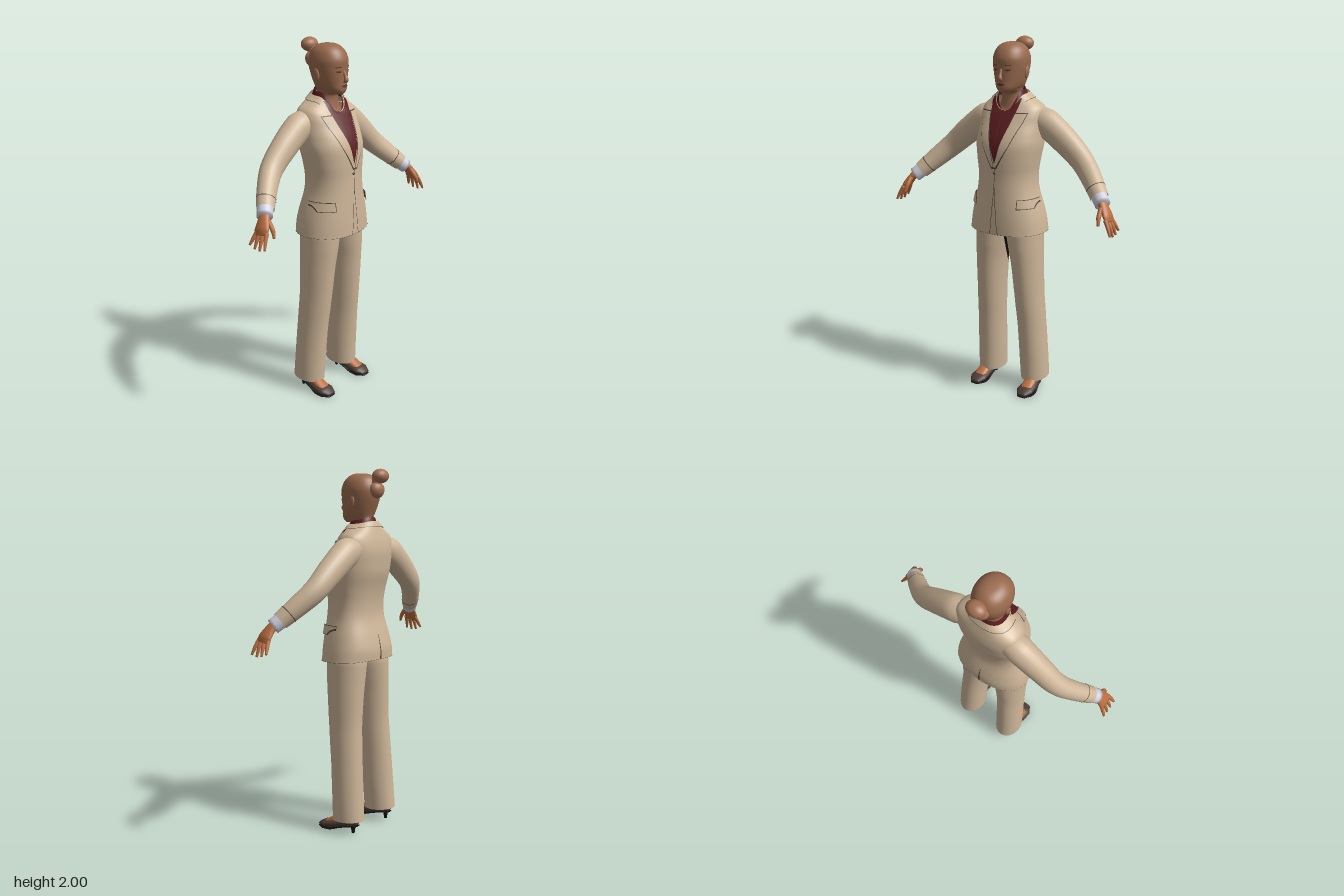
import * as THREE from 'three';
import { mergeVertices } from 'three/addons/utils/BufferGeometryUtils.js';

const mat = (name, color, side = THREE.FrontSide) => {
  const m = new THREE.MeshStandardMaterial({ color, side });
  m.name = name;
  return m;
};
const M = {
  suit: mat('suit beige', 0xcdb598, THREE.DoubleSide),
  seam: mat('seam brown', 0x55483c, THREE.DoubleSide),
  face: mat('face skin', 0x996a4d),
  limb: mat('hand skin', 0xb96e40),
  hair: mat('hair brown', 0xa37052),
  shirt: mat('shirt burgundy', 0x5c1d20, THREE.DoubleSide),
  cuff: mat('cuff white', 0xcfcfdf, THREE.DoubleSide),
  shoe: mat('shoe brown', 0x4d3d35),
  black: mat('sole black', 0x121110),
  feature: mat('feature brown', 0x5f3a2b, THREE.DoubleSide),
};

// Smooth surface from fn(u, v) with outward side Pu x Pv
function grid(fn, nu, nv) {
  const pos = [], idx = [];
  for (let i = 0; i <= nv; i++)
    for (let j = 0; j <= nu; j++) pos.push(...fn(j / nu, i / nv));
  for (let i = 0; i < nv; i++)
    for (let j = 0; j < nu; j++) {
      const a = i * (nu + 1) + j, b = a + 1, c = a + nu + 1, d = c + 1;
      idx.push(a, b, c, b, d, c);
    }
  let g = new THREE.BufferGeometry();
  g.setAttribute('position', new THREE.Float32BufferAttribute(pos, 3));
  g.setIndex(idx);
  g = mergeVertices(g, 1e-5);
  g.computeVertexNormals();
  return g;
}

// Stack of rings [yFront, ySide, yBack, halfWidth, zFront, zBack, zWidest]
function body(rings, p = 0.85) {
  const n = rings.length - 1;
  const ringAt = (v) => {
    const f = Math.min(Math.max(v, 0), 1) * n, i = Math.min(Math.floor(f), n - 1), t = f - i;
    const R = (k) => rings[Math.min(Math.max(k, 0), n)];
    return rings[0].map((_, k) => {
      const [a, b, c, d] = [R(i - 1)[k], R(i)[k], R(i + 1)[k], R(i + 2)[k]];
      return b + 0.5 * t * (c - a + t * (2 * a - 5 * b + 4 * c - d + t * (3 * (b - c) + d - a)));
    });
  };
  const at = (th, v, off = 0) => {
    const [yF, yS, yB, w, zF, zB, zC] = ringAt(v), c = Math.cos(th), s = Math.sin(th);
    const sp = Math.sign(s) * Math.abs(s) ** p;
    return [
      w * Math.sign(c) * Math.abs(c) ** p + off * c,
      yS + ((s > 0 ? yF : yB) - yS) * s * s,
      zC + (s > 0 ? zF - zC : zC - zB) * sp + off * s,
    ];
  };
  // point on the front (or back) at a given x and y
  const find = (x, y, off, dir = 1) => {
    let lo = 0, hi = 1, q;
    for (let k = 0; k < 24; k++) {
      const v = (lo + hi) / 2, w = Math.max(ringAt(v)[3], 1e-4);
      const c = Math.sign(x) * Math.min(Math.abs(x) / w, 1) ** (1 / p);
      q = at(dir * Math.acos(c), v, off);
      if (q[1] < y) lo = v; else hi = v;
    }
    return q;
  };
  const geo = (nu = 64, nv = 80) => grid((u, v) => at(-2 * Math.PI * u, v), nu, nv);
  // thin piece lying on the surface; rows are [y, x1, x2] from low to high
  const patch = (rows, off, s = 1, dir = 1, nu = 14, nv = 36) => grid((u, v) => {
    const f = v * (rows.length - 1), i = Math.min(Math.floor(f), rows.length - 2);
    const [y, a, b] = rows[i].map((r, k) => r + (rows[i + 1][k] - r) * (f - i));
    const lo = Math.min(s * a, s * b), hi = Math.max(s * a, s * b);
    return find((lo + (hi - lo) * u), y, off, dir);
  }, nu, nv);
  return { at, geo, patch };
}

// Rounded limb through [x, y, z, r1, r2] sections
function limb(pts, s = 1, caps = true, ref = new THREE.Vector3(0, 0, 1), nu = 24) {
  const curve = new THREE.CatmullRomCurve3(pts.map((q) => new THREE.Vector3(s * q[0], q[1], q[2])));
  const n = pts.length - 1, steps = n * 5, e = caps ? 1 : 0, rows = steps + 2 * e;
  return grid((u, v) => {
    const k = Math.round(v * rows) - e, t = Math.min(Math.max(k / steps, 0), 1);
    const f = t * n, i = Math.min(Math.floor(f), n - 1);
    const r = [3, 4].map((m) => (k < 0 || k > steps) ? 0 : pts[i][m] + (pts[i + 1][m] - pts[i][m]) * (f - i));
    const T = curve.getTangent(t), B = T.clone().cross(ref).normalize(), N = T.clone().cross(B);
    const a = 2 * Math.PI * u;
    return curve.getPoint(t).addScaledVector(B, r[0] * Math.cos(a)).addScaledVector(N, r[1] * Math.sin(a)).toArray();
  }, nu, rows);
}

export function createModel() {
  const model = new THREE.Group();
  model.name = 'woman in suit';
  const add = (name, geo, material) => {
    const m = new THREE.Mesh(geo, material);
    m.name = name;
    model.add(m);
    return m;
  };
  const ball = (name, material, x, y, z, a, b, c) => {
    const m = add(name, new THREE.SphereGeometry(1, 24, 16), material);
    m.position.set(x, y, z);
    m.scale.set(a, b, c);
    return m;
  };

  // Jacket body
  const jacket = body([
    [0.96, 0.965, 0.975, 0.222, 0.18, -0.145, 0.01], [1.03, 1.03, 1.03, 0.213, 0.179, -0.145, 0.01],
    [1.1, 1.1, 1.1, 0.198, 0.176, -0.13, 0.01], [1.2, 1.2, 1.2, 0.172, 0.17, -0.103, 0.01],
    [1.28, 1.28, 1.28, 0.166, 0.166, -0.1, 0.01], [1.36, 1.36, 1.36, 0.176, 0.166, -0.112, 0.01],
    [1.44, 1.44, 1.44, 0.187, 0.161, -0.133, 0], [1.5, 1.5, 1.5, 0.188, 0.142, -0.14, -0.02],
    [1.56, 1.56, 1.56, 0.187, 0.11, -0.143, -0.04], [1.59, 1.61, 1.61, 0.185, 0.092, -0.136, -0.05],
    [1.61, 1.65, 1.65, 0.168, 0.08, -0.125, -0.05], [1.62, 1.685, 1.695, 0.115, 0.072, -0.11, -0.03],
    [1.625, 1.71, 1.725, 0.082, 0.066, -0.096, -0.015],
  ]);
  add('jacket body', jacket.geo(), M.suit);
  add('shirt front', jacket.patch([[1.355, -0.001, 0.001], [1.48, -0.04, 0.04], [1.6, -0.074, 0.074], [1.7, -0.088, 0.088]], 0.005), M.shirt);
  add('shirt placket', jacket.patch([[1.37, -0.001, 0.001], [1.61, -0.001, 0.001]], 0.007, 1, 1, 2), M.feature);
  add('jacket collar', grid((u, v) => jacket.at(-Math.PI * (-0.15 + 1.3 * u), 0.925 + 0.075 * v, 0.008), 40, 8), M.suit);
  add('collar seam', grid((u, v) => jacket.at(-Math.PI * (-0.15 + 1.3 * u), 0.92 + 0.006 * v, 0.008), 40, 1), M.seam);
  for (const s of [1, -1]) {
    add('lapel', jacket.patch([[1.335, 0.002, 0.012], [1.45, 0.03, 0.075], [1.57, 0.064, 0.118], [1.615, 0.074, 0.13]], 0.011, s), M.suit);
    add('lapel edge', jacket.patch([[1.325, -0.001, 0.015], [1.45, 0.027, 0.079], [1.57, 0.061, 0.122], [1.62, 0.071, 0.135]], 0.009, s), M.seam);
    add('collar leaf', jacket.patch([[1.622, 0.074, 0.108], [1.65, 0.077, 0.108], [1.7, 0.08, 0.09]], 0.011, s), M.suit);
    add('pocket flap', jacket.patch([[1.115, 0.125, 0.185], [1.16, 0.125, 0.185]], 0.01, s), M.suit);
    add('pocket edge', jacket.patch([[1.111, 0.122, 0.188], [1.163, 0.122, 0.188]], 0.008, s), M.seam);
    add('shirt collar wing', jacket.patch([[1.56, 0.034, 0.037], [1.6, 0.015, 0.062], [1.68, 0.03, 0.084]], 0.01, s), M.shirt);
    // front opening below the button
    add('front edge', jacket.patch([[0.962, 0.026, 0.03], [0.985, 0.019, 0.022], [1.22, -0.001, 0.002]], 0.003, s, 1, 2), M.seam);
  }
  add('front closure', jacket.patch([[1.22, -0.0015, 0.0015], [1.35, -0.0015, 0.0015]], 0.004, 1, 1, 2), M.seam);
  add('back vent', jacket.patch([[0.976, -0.006, 0.006], [1.12, -0.001, 0.001]], 0.002, 1, -1, 2), M.seam);
  add('hem edge', grid((u, v) => jacket.at(-2 * Math.PI * u, v * 0.0035, 0.0015), 64, 1), M.seam);
  ball('button', M.seam, 0, 1.3, 0.167, 0.008, 0.008, 0.005);

  // Shirt collar standing round the neck
  const collar = body([
    [1.6, 1.69, 1.72, 0.08, 0.07, -0.094, -0.015], [1.61, 1.715, 1.735, 0.072, 0.065, -0.09, -0.015],
    [1.618, 1.73, 1.748, 0.066, 0.062, -0.085, -0.015],
  ]);
  add('shirt collar', collar.geo(48, 8), M.shirt);

  // Head and neck
  const head = body([
    [1.6, 1.64, 1.64, 0.07, 0.066, -0.08, -0.015], [1.64, 1.68, 1.68, 0.058, 0.045, -0.075, -0.015],
    [1.712, 1.715, 1.715, 0.054, 0.04, -0.072, -0.01], [1.719, 1.74, 1.735, 0.06, 0.082, -0.076, -0.01],
    [1.74, 1.755, 1.755, 0.069, 0.1, -0.08, -0.01], [1.78, 1.78, 1.78, 0.079, 0.1, -0.09, -0.01],
    [1.82, 1.82, 1.82, 0.088, 0.1, -0.106, -0.01], [1.86, 1.86, 1.86, 0.094, 0.1, -0.118, -0.01],
    [1.9, 1.9, 1.9, 0.094, 0.1, -0.12, -0.01], [1.94, 1.94, 1.94, 0.081, 0.082, -0.105, -0.01],
    [1.965, 1.965, 1.965, 0.058, 0.056, -0.08, -0.01], [1.977, 1.977, 1.977, 0.031, 0.028, -0.048, -0.01],
    [1.98, 1.98, 1.98, 0, -0.01, -0.01, -0.01],
  ], 0.95);
  add('head', head.geo(48, 72), M.face);
  add('nose', limb([[0, 1.845, 0.095, 0.007, 0.007], [0, 1.815, 0.107, 0.009, 0.009],
    [0, 1.797, 0.112, 0.012, 0.014], [0, 1.787, 0.104, 0.008, 0.012]], 1, true, new THREE.Vector3(1, 0, 0), 16), M.face);
  add('lips', head.patch([[1.757, -0.008, 0.008], [1.764, -0.025, 0.025], [1.772, -0.008, 0.008]], 0.004, 1, 1, 10, 6), M.feature);
  for (const s of [1, -1]) {
    add('eye', head.patch([[1.836, 0.03, 0.042], [1.841, 0.022, 0.053], [1.846, 0.03, 0.046]], 0.003, s, 1, 8, 6), M.feature);
    add('eyebrow', head.patch([[1.862, 0.018, 0.058], [1.867, 0.026, 0.052]], 0.003, s, 1, 8, 3), M.feature);
    ball('ear', M.face, s * 0.091, 1.825, -0.015, 0.009, 0.034, 0.018).rotation.x = -0.2;
  }
  ball('hair bun', M.hair, 0, 1.962, -0.141, 0.052, 0.038, 0.042);
  ball('hair knot', M.hair, 0, 1.89, -0.115, 0.05, 0.045, 0.038);
  ball('hair twist', M.hair, 0, 1.925, -0.115, 0.03, 0.04, 0.03);

  const X = new THREE.Vector3(1, 0, 0);
  for (const s of [1, -1]) {
    // Arms
    add('sleeve', limb([[0.12, 1.585, -0.05, 0.062, 0.066], [0.19, 1.555, -0.055, 0.081, 0.074],
      [0.313, 1.467, -0.052, 0.074, 0.066], [0.42, 1.375, -0.04, 0.064, 0.058],
      [0.5, 1.3, 0.005, 0.057, 0.052], [0.575, 1.225, 0.062, 0.048, 0.047]], s, false), M.suit);
    add('sleeve seam', limb([[0.538, 1.262, 0.034, 0.054, 0.0515], [0.541, 1.259, 0.036, 0.054, 0.0515]], s, false), M.seam);
    add('shirt cuff', limb([[0.56, 1.24, 0.05, 0.043, 0.042], [0.605, 1.197, 0.085, 0.041, 0.041]], s), M.cuff);
    // Hands
    add('palm', limb([[0.59, 1.215, 0.075, 0.024, 0.028], [0.62, 1.182, 0.092, 0.02, 0.034],
      [0.645, 1.145, 0.103, 0.018, 0.044], [0.657, 1.118, 0.108, 0.011, 0.04]], s), M.limb);
    for (let k = 0; k < 4; k++) {
      const z = 0.074 + 0.022 * k, d = 0.006 * (k - 1.5), drop = [0.018, 0.004, 0, 0.008][k];
      add('finger', limb([[0.648, 1.135, z, 0.011, 0.011], [0.67, 1.095, z + d, 0.01, 0.01],
        [0.686, 1.048 + drop, z + 2 * d, 0.006, 0.006]], s, true, undefined, 10), M.limb);
    }
    add('thumb', limb([[0.612, 1.185, 0.115, 0.014, 0.014], [0.615, 1.145, 0.148, 0.012, 0.012],
      [0.622, 1.105, 0.165, 0.007, 0.007]], s, true, X, 10), M.limb);
    // Trousers
    add('trouser leg', limb([[0.095, 1.08, 0.015, 0.09, 0.105], [0.1, 0.95, 0.012, 0.1, 0.118],
      [0.107, 0.87, 0.011, 0.094, 0.115], [0.115, 0.78, 0.008, 0.087, 0.109], [0.124, 0.6, 0.002, 0.08, 0.099],
      [0.134, 0.4, -0.014, 0.078, 0.094], [0.141, 0.2, -0.027, 0.08, 0.093], [0.145, 0.07, -0.035, 0.078, 0.095]], s, false, undefined, 36), M.suit);
    // Feet and heeled shoes
    add('foot', limb([[0.148, 0.16, -0.04, 0.03, 0.034], [0.152, 0.09, -0.02, 0.036, 0.034],
      [0.158, 0.056, 0.05, 0.022, 0.036], [0.16, 0.033, 0.11, 0.012, 0.034]], s, true, X), M.limb);
    add('shoe', limb([[0.15, 0.07, -0.1, 0.016, 0.02], [0.152, 0.064, -0.07, 0.026, 0.034],
      [0.155, 0.048, 0, 0.024, 0.038], [0.16, 0.034, 0.06, 0.026, 0.047],
      [0.16, 0.026, 0.11, 0.021, 0.05], [0.16, 0.016, 0.15, 0.01, 0.026]], s, true, X), M.shoe);
    add('shoe sole', limb([[0.151, 0.046, -0.1, 0.005, 0.022], [0.155, 0.024, 0, 0.005, 0.036],
      [0.16, 0.006, 0.06, 0.005, 0.047], [0.16, 0.005, 0.11, 0.005, 0.05], [0.16, 0.006, 0.15, 0.004, 0.027]], s, true, X), M.black);
    add('shoe heel', new THREE.CylinderGeometry(0.016, 0.008, 0.055, 12), M.black).position.set(s * 0.152, 0.0275, -0.073);
  }
  // Dark gusset between the legs
  const gusset = add('trouser gusset', new THREE.ConeGeometry(1, 0.2, 16), M.black);
  gusset.rotation.x = Math.PI;
  gusset.position.set(0, 0.87, 0.03);
  gusset.scale.set(0.026, 1, 0.05);
  return model;
}
